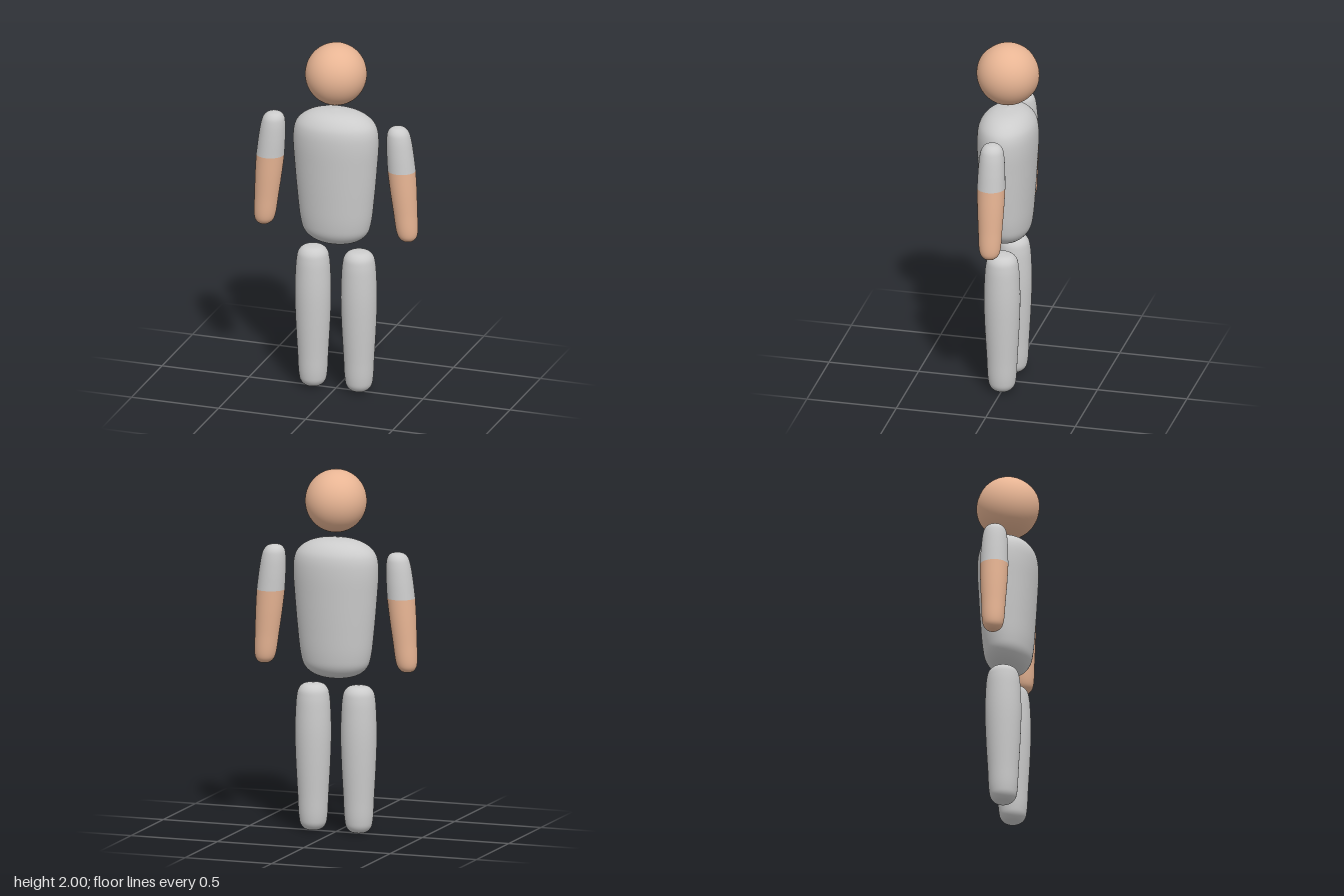
import * as THREE from 'three';

const grey = new THREE.MeshStandardMaterial({ color: 0xcccccc });
const skin = new THREE.MeshStandardMaterial({ color: 0xe8b594 });

// Smooth lathe through [radius, y] points listed from bottom to top
function turned(name, profile, material, segments = 48) {
  const curve = new THREE.CatmullRomCurve3(
    profile.map(([r, y]) => new THREE.Vector3(r, y, 0)), false, 'centripetal');
  const points = curve.getPoints(profile.length * 5)
    .map(p => new THREE.Vector2(Math.max(p.x, 0), p.y));
  const mesh = new THREE.Mesh(new THREE.LatheGeometry(points, segments), material);
  mesh.name = name;
  return mesh;
}

// Near-round head with a faint ridge along the front and back centre line
function makeHead() {
  const geometry = new THREE.SphereGeometry(0.168, 64, 40);
  const pos = geometry.attributes.position;
  for (let i = 0; i < pos.count; i++) {
    const x = pos.getX(i), z = pos.getZ(i);
    const r = Math.max(Math.hypot(x, z), 1e-6);
    pos.setZ(i, z * (1 + 0.035 * Math.max(0, 1 - Math.abs(x) / (0.4 * r))));
  }
  const head = new THREE.Mesh(geometry, skin);
  head.name = 'head';
  head.scale.y = 0.1725 / 0.168;
  head.position.y = 1.8275;
  return head;
}

// Arm leaning outward: a grey sleeve above a bare forearm
function makeArm(side) {
  const arm = new THREE.Group();
  arm.name = side > 0 ? 'leftArm' : 'rightArm';
  const sleeve = turned('sleeve', [
    [0.077, 1.315], [0.073, 1.42], [0.066, 1.5], [0.057, 1.535], [0.038, 1.557], [0, 1.567],
  ], grey);
  const forearm = turned('forearm', [
    [0, 0.905], [0.028, 0.911], [0.048, 0.93], [0.058, 0.96], [0.066, 1.08], [0.073, 1.2], [0.077, 1.315],
  ], skin);
  const lean = new THREE.Matrix4().set(
    1, -0.09 * side, 0, side * (0.355 + 0.09 * 1.565),
    0, 1, 0, 0,
    0, 0, 1, 0,
    0, 0, 0, 1);
  for (const part of [sleeve, forearm]) {
    part.geometry.applyMatrix4(lean);
    arm.add(part);
  }
  return arm;
}

function makeLeg(side) {
  const leg = turned(side > 0 ? 'leftLeg' : 'rightLeg', [
    [0, 0], [0.045, 0.01], [0.068, 0.035], [0.077, 0.075], [0.084, 0.2], [0.094, 0.38],
    [0.099, 0.54], [0.096, 0.66], [0.09, 0.74], [0.08, 0.782], [0.055, 0.808], [0, 0.817],
  ], grey);
  leg.position.x = side * 0.132;
  return leg;
}

export function createModel() {
  const figure = new THREE.Group();
  figure.name = 'figure';

  // Tapered torso, oval in plan
  const torso = turned('torso', [
    [0, 0.85], [0.08, 0.857], [0.14, 0.88], [0.18, 0.92], [0.198, 0.98], [0.215, 1.12],
    [0.231, 1.3], [0.24, 1.44], [0.234, 1.51], [0.217, 1.55], [0.175, 1.588], [0.11, 1.614], [0, 1.627],
  ], grey, 64);
  torso.scale.z = 0.68;

  figure.add(makeHead(), torso);
  for (const side of [-1, 1]) figure.add(makeArm(side), makeLeg(side));
  return figure;
}
